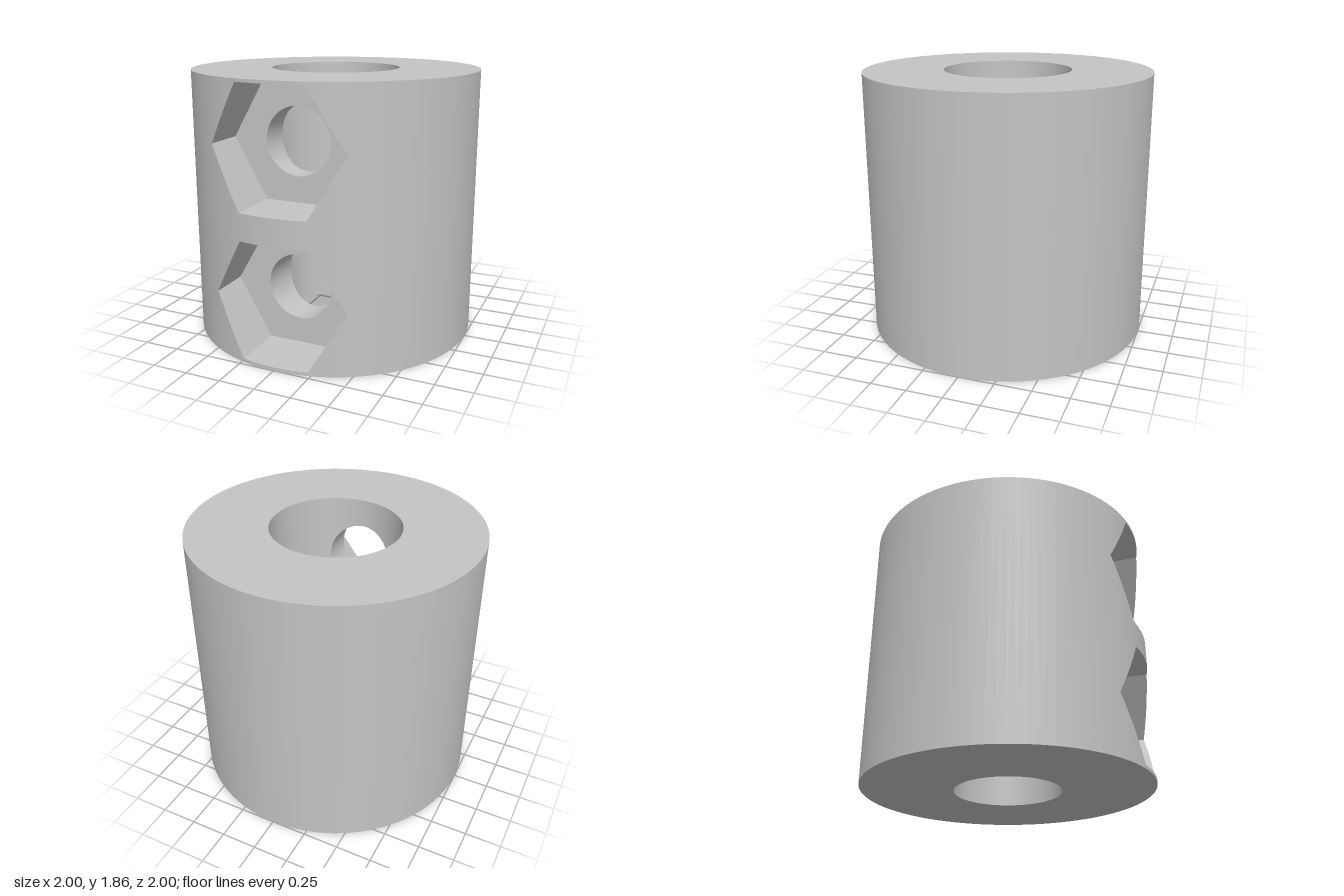
import * as THREE from 'three';
import { toCreasedNormals } from 'three/addons/utils/BufferGeometryUtils.js';

const HEIGHT = 1.86, STEP_Y = 0.93, OUTER = 1;
const UPPER_BORE = 0.445, LOWER_BORE = 0.37;
const HEX_R = 0.47, HEX_H = 0.407, HOLE_R = 0.23, FLOOR_Z = 0.6;
const LOWER_Y = 0.432, UPPER_Y = 1.432;

// An opening is a list of x stations and its half height at each of them
const hexXs = [];
for (let i = 0; i <= 32; i++) hexXs.push(HEX_R * (i / 16 - 1));
const hex = {
  xs: hexXs,
  half: x => HEX_H * Math.min(1, Math.max(0, 2 * (1 - Math.abs(x) / HEX_R))),
};
const circleXs = [];
for (let i = 0; i <= 32; i++) circleXs.push(-HOLE_R * Math.cos(Math.PI * i / 32));
const circle = {
  xs: circleXs,
  half: x => Math.sqrt(Math.max(0, HOLE_R * HOLE_R - x * x)),
};

// Outline of an opening, anticlockwise seen from the front
function outline({ xs, half }, cy) {
  const bottom = xs.map(x => [x, cy - half(x)]);
  const top = xs.slice(1, -1).reverse().map(x => [x, cy + half(x)]);
  return [...bottom, ...top];
}

function quadsToGeometry(quads) {
  const pos = [];
  const tri = new THREE.Triangle();
  for (const [a, b, c, d] of quads) {
    for (const t of [[a, b, c], [a, c, d]]) {
      tri.set(...t.map(p => new THREE.Vector3(...p)));
      if (tri.getArea() > 1e-9) t.forEach(p => pos.push(...p));
    }
  }
  const geo = new THREE.BufferGeometry();
  geo.setAttribute('position', new THREE.Float32BufferAttribute(pos, 3));
  return toCreasedNormals(geo, 0.5);
}

// Cylindrical wall with openings cut through its front
function wall(radius, y0, y1, opening, centres, inward) {
  const front = opening.xs.map(x => Math.asin(x / radius));
  const n = front.length, start = front[n - 1], sweep = Math.PI * 2 - 2 * start;
  const angles = [...front];
  for (let i = 1; i <= 96; i++) angles.push(start + sweep * i / 96);

  const point = (a, y) => [radius * Math.sin(a), y, radius * Math.cos(a)];
  // Heights at which the wall starts and stops along one column edge
  const levels = i => {
    const h = i < n ? opening.half(opening.xs[i]) : 0;
    return [y0, ...centres.flatMap(c => [c - h, c + h]), y1];
  };
  const quads = [];
  for (let i = 0; i < angles.length - 1; i++) {
    const inFront = i < n - 1;
    const l = inFront ? levels(i) : [y0, y1];
    const r = inFront ? levels(i + 1) : [y0, y1];
    for (let k = 0; k < l.length; k += 2) {
      const q = [point(angles[i], l[k]), point(angles[i + 1], r[k]),
        point(angles[i + 1], r[k + 1]), point(angles[i], l[k + 1])];
      quads.push(inward ? q.reverse() : q);
    }
  }
  return quadsToGeometry(quads);
}

// Inside walls of an opening running from front to back
function tunnel(opening, cy, zFront, zBack) {
  const pts = outline(opening, cy);
  return quadsToGeometry(pts.map((p, i) => {
    const q = pts[(i + 1) % pts.length];
    return [[...p, zFront(p[0])], [...q, zFront(q[0])], [...q, zBack(q[0])], [...p, zBack(p[0])]];
  }));
}

// Flat pocket floor with the screw hole through it
function pocketFloor(cy) {
  const toVec = ([x, y]) => new THREE.Vector2(x, y);
  const shape = new THREE.Shape(outline(hex, cy).map(toVec));
  shape.holes.push(new THREE.Path(outline(circle, cy).map(toVec)));
  return new THREE.ShapeGeometry(shape).translate(0, 0, FLOOR_Z);
}

function ring(inner, outer, y, faceUp) {
  return new THREE.RingGeometry(inner, outer, 128)
    .rotateX(faceUp ? -Math.PI / 2 : Math.PI / 2).translate(0, y, 0);
}

export function createModel() {
  const group = new THREE.Group();
  group.name = 'shaftCoupler';
  const grey = new THREE.MeshStandardMaterial({ color: 0xc4c4c4 });
  grey.name = 'grey';
  const add = (name, geometry) => {
    const mesh = new THREE.Mesh(geometry, grey);
    mesh.name = name;
    group.add(mesh);
  };

  // Body and stepped bore
  add('outerWall', wall(OUTER, 0, HEIGHT, hex, [LOWER_Y, UPPER_Y], false));
  add('lowerBore', wall(LOWER_BORE, 0, STEP_Y, circle, [LOWER_Y], true));
  add('upperBore', wall(UPPER_BORE, STEP_Y, HEIGHT, circle, [UPPER_Y], true));
  add('topFace', ring(UPPER_BORE, OUTER, HEIGHT, true));
  add('boreStep', ring(LOWER_BORE, UPPER_BORE, STEP_Y, true));
  add('bottomFace', ring(LOWER_BORE, OUTER, 0, false));

  // Nut pockets and screw holes
  const onCylinder = r => x => Math.sqrt(r * r - x * x);
  const floor = () => FLOOR_Z;
  for (const [side, cy, bore] of [['lower', LOWER_Y, LOWER_BORE], ['upper', UPPER_Y, UPPER_BORE]]) {
    add(side + 'NutPocketSides', tunnel(hex, cy, onCylinder(OUTER), floor));
    add(side + 'NutPocketFloor', pocketFloor(cy));
    add(side + 'ScrewHole', tunnel(circle, cy, floor, onCylinder(bore)));
  }
  return group;
}
